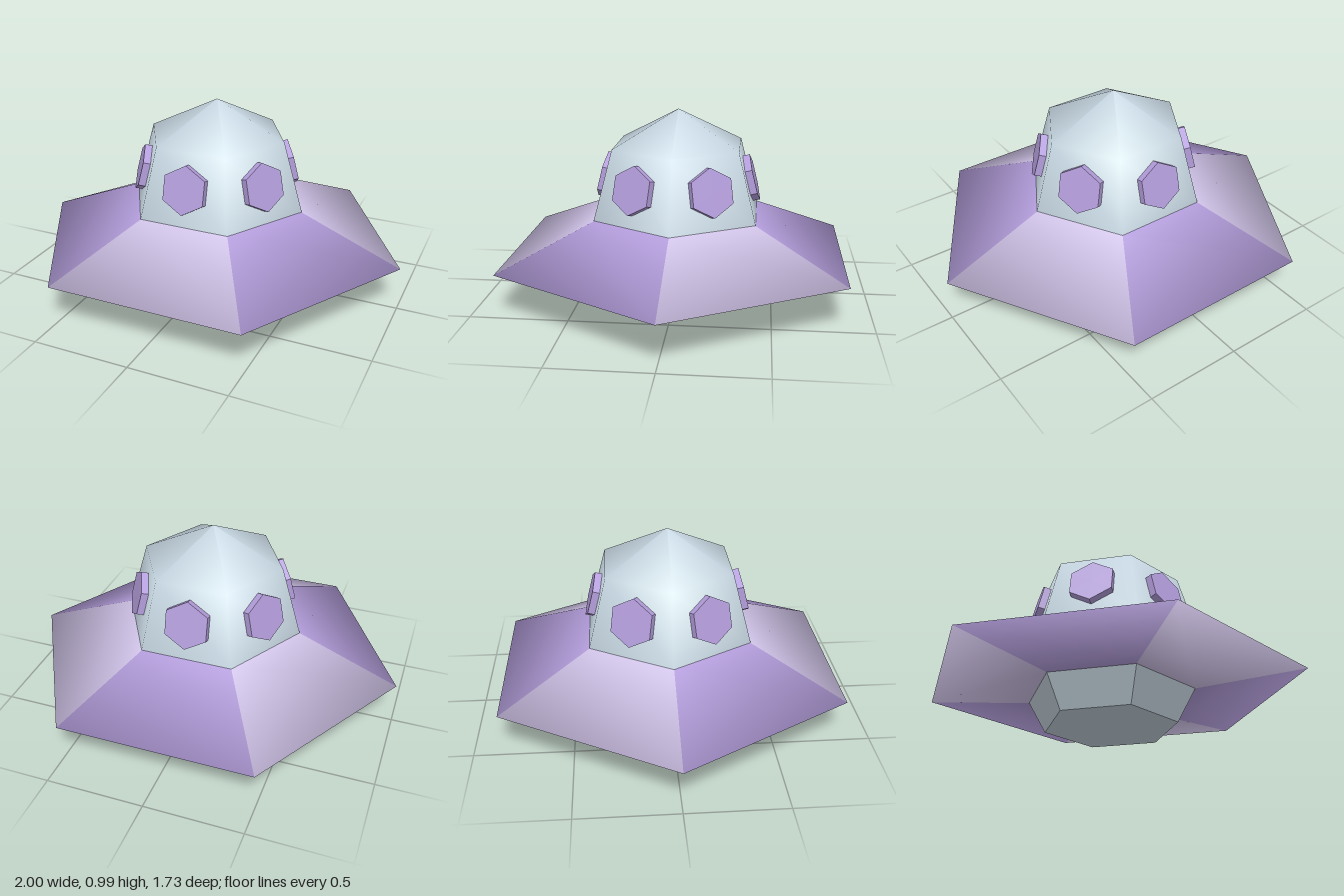
import * as THREE from 'three';

const SIDES = 6;
const STEP = (Math.PI * 2) / SIDES;

const material = (color, flatShading = false) =>
  new THREE.MeshStandardMaterial({ color, flatShading, side: THREE.DoubleSide });

const profile = (pairs) => pairs.map(([r, y]) => new THREE.Vector2(r, y));

function addMesh(parent, name, geometry, mat) {
  const mesh = new THREE.Mesh(geometry, mat);
  mesh.name = name;
  parent.add(mesh);
  return mesh;
}

export function createModel() {
  const model = new THREE.Group();
  model.name = 'flyingSaucer';

  const purple = material(0xb39ddb);
  const lavender = material(0xd1c4e9);
  const paleBlue = material(0xc5d5e0);
  const paleBlueFlat = material(0xc0ced8, true);
  const portholeMat = material(0xb39ddb, true);

  // Saucer: six wedge panels in alternating colours, smooth over the rim
  const saucer = new THREE.Group();
  saucer.name = 'saucer';
  const saucerProfile = profile([[0.44, 0.17], [1, 0.225], [0.47, 0.44]]);
  for (let i = 0; i < SIDES; i++) {
    const panel = new THREE.LatheGeometry(saucerProfile, 1, (i - 0.5) * STEP, STEP);
    addMesh(saucer, 'saucerPanel', panel, i % 2 ? purple : lavender);
  }
  model.add(saucer);

  // Dome: six sides with a pointed roof, smooth shaded
  const domeProfile = profile([[0.475, 0.44], [0.37, 0.8], [0, 0.985]]);
  addMesh(model, 'dome', new THREE.LatheGeometry(domeProfile, SIDES, STEP / 2), paleBlue);

  // Base: faceted hexagonal foot
  const baseGeo = new THREE.CylinderGeometry(0.44, 0.347, 0.17, SIDES, 1, false, STEP / 2);
  addMesh(model, 'base', baseGeo, paleBlueFlat).position.y = 0.085;

  // Portholes: one hexagonal plate leaning on each dome face
  const portholeGeo = new THREE.CylinderGeometry(0.124, 0.124, 0.045, SIDES).rotateX(Math.PI / 2);
  for (let i = 0; i < SIDES; i++) {
    const arm = new THREE.Group();
    arm.name = 'portholeMount';
    arm.rotation.y = i * STEP;
    const porthole = addMesh(arm, 'porthole', portholeGeo, portholeMat);
    porthole.position.set(0, 0.627, 0.379);
    porthole.rotation.x = -0.245;
    model.add(arm);
  }

  return model;
}
